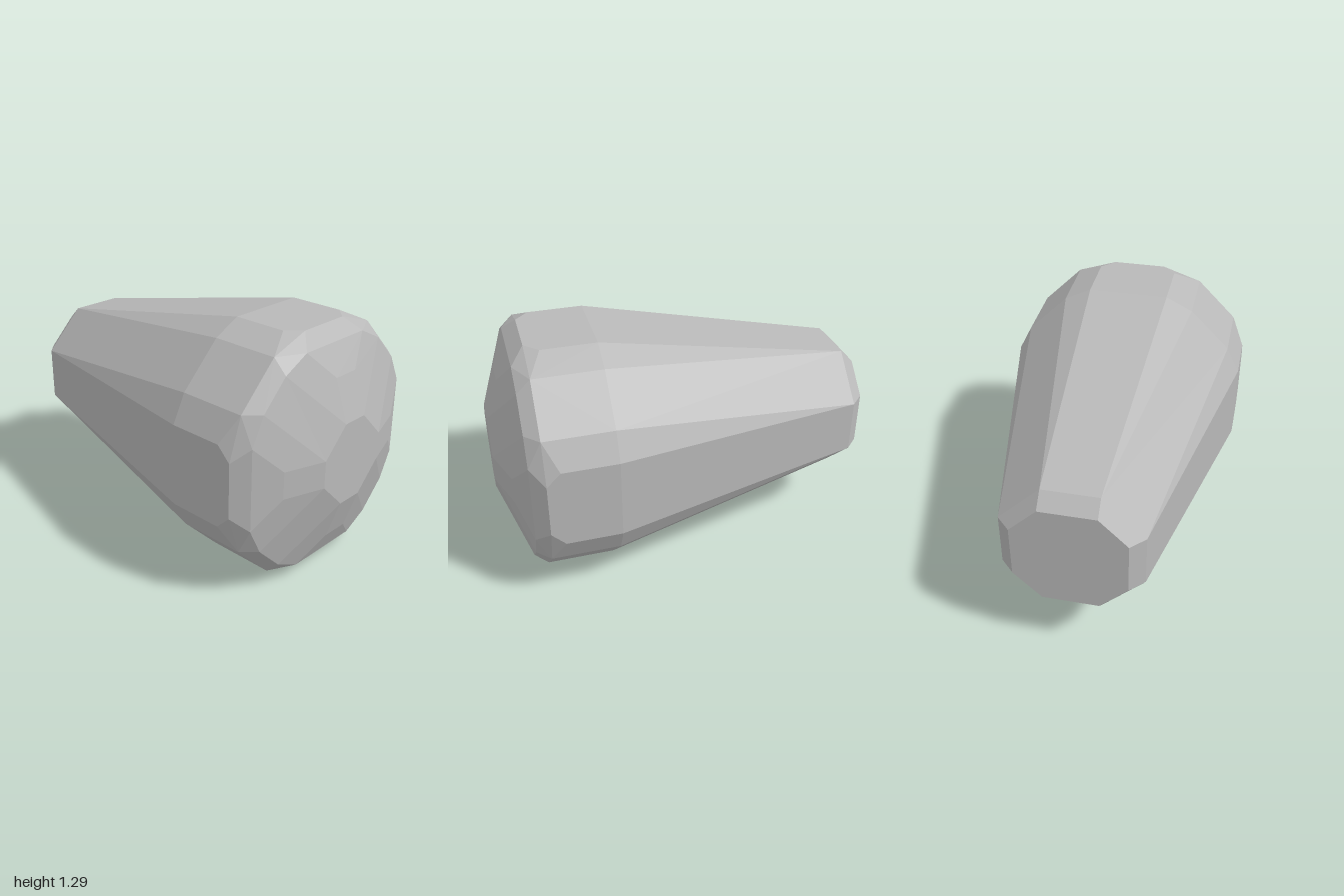
import * as THREE from 'three';
import { ConvexGeometry } from 'three/addons/geometries/ConvexGeometry.js';

const U = 1 / 14; // all corners sit on this spacing

// Corners of one cross-section: each [a, b] is mirrored over both axes and the diagonal
function section(z, pairs) {
  const points = [];
  for (const [a, b] of pairs)
    for (const [x, y] of [[a, b], [b, a]])
      for (const sx of [-1, 1])
        for (const sy of [-1, 1])
          points.push(new THREE.Vector3(sx * x * U, sy * y * U, z * U));
  return points;
}

export function createModel() {
  const group = new THREE.Group();
  group.name = 'facetedCone';
  const grey = new THREE.MeshStandardMaterial({ color: 0xb8b8b8, flatShading: true });
  grey.name = 'grey';

  const points = [
    // domed nose
    ...section(14, [[1, 3]]),
    ...section(13, [[1, 6], [3, 5]]),
    ...section(12, [[3, 8], [5, 7]]),
    // bevelled front rim
    ...section(11, [[2, 9], [5, 8]]),
    ...section(10, [[3, 9]]),
    // end of the straight band, where the taper starts
    ...section(6, [[3, 9], [5, 8]]),
    // narrow chamfered tail
    ...section(-13, [[2, 5]]),
    ...section(-14, [[2, 4]]),
  ];
  const body = new THREE.Mesh(new ConvexGeometry(points), grey);
  body.name = 'body';
  body.position.y = 9 * U;
  group.add(body);
  return group;
}
